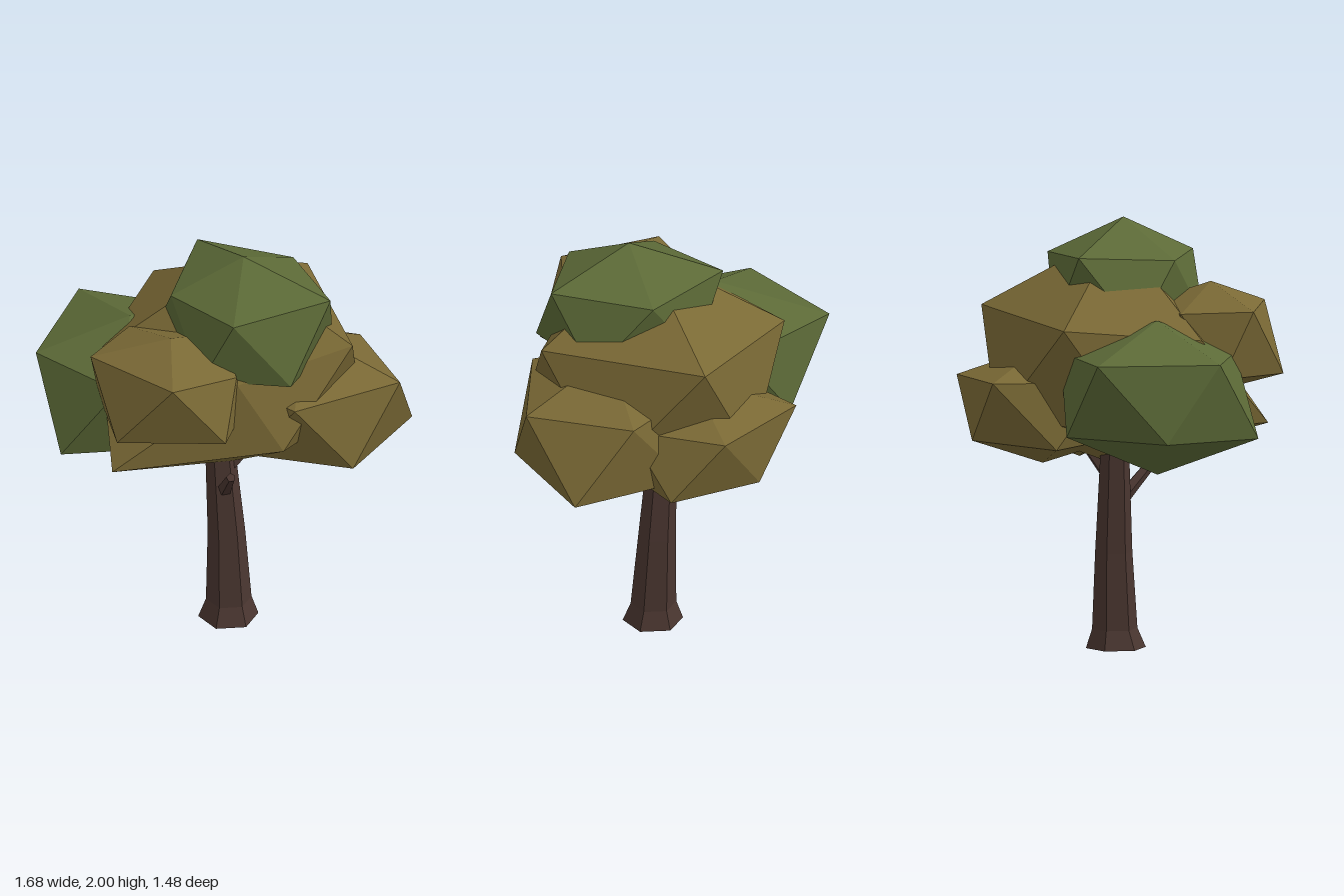
import * as THREE from 'three';
import { ConvexGeometry } from 'three/addons/geometries/ConvexGeometry.js';

const material = (name, color) => {
  const m = new THREE.MeshStandardMaterial({ color, flatShading: true });
  m.name = name;
  return m;
};

// Stretched icosahedron standing on a point: top, two rings of five, bottom.
// heights = [bottom, lower ring, upper ring, top]; nudges replace single corners
// (0-4 upper ring, 5-9 lower ring, counted from +x towards +z).
function clump(name, mat, [cx, cz], [rx, rz], [bottom, low, high, top], yaw = 0, nudges = {}) {
  const points = [];
  for (let ring = 0; ring < 2; ring++) {
    for (let i = 0; i < 5; i++) {
      const a = THREE.MathUtils.degToRad(yaw + 72 * i + 36 * ring);
      points.push(new THREE.Vector3(cx + rx * Math.cos(a), ring ? low : high, cz + rz * Math.sin(a)));
    }
  }
  for (const [i, p] of Object.entries(nudges)) points[i].set(...p);
  points.push(new THREE.Vector3(cx, top, cz), new THREE.Vector3(cx, bottom, cz));
  const mesh = new THREE.Mesh(new ConvexGeometry(points), mat);
  mesh.name = name;
  return mesh;
}

// Six-sided limb through a list of level rings [x, y, z, radius], capped at both ends.
function limb(name, mat, rings) {
  const sides = 6, pos = [], index = [];
  for (const [x, y, z, r] of rings) {
    for (let i = 0; i < sides; i++) {
      const a = (i / sides) * Math.PI * 2;
      pos.push(x + r * Math.sin(a), y, z + r * Math.cos(a));
    }
  }
  for (let k = 0; k < rings.length - 1; k++) {
    for (let i = 0; i < sides; i++) {
      const a = k * sides + i, b = k * sides + ((i + 1) % sides);
      index.push(a, b, b + sides, a, b + sides, a + sides);
    }
  }
  const last = (rings.length - 1) * sides;
  for (let i = 1; i < sides - 1; i++) {
    index.push(0, i + 1, i, last, last + i, last + i + 1);
  }
  const indexed = new THREE.BufferGeometry();
  indexed.setAttribute('position', new THREE.Float32BufferAttribute(pos, 3));
  indexed.setIndex(index);
  const geometry = indexed.toNonIndexed();
  geometry.computeVertexNormals();
  const mesh = new THREE.Mesh(geometry, mat);
  mesh.name = name;
  return mesh;
}

// Straight tapering twig between two points.
function twig(name, mat, from, to, r0, r1) {
  const a = new THREE.Vector3(...from), b = new THREE.Vector3(...to);
  const dir = b.clone().sub(a);
  const mesh = new THREE.Mesh(new THREE.CylinderGeometry(r1, r0, dir.length(), 5), mat);
  mesh.position.copy(a).add(b).multiplyScalar(0.5);
  mesh.quaternion.setFromUnitVectors(new THREE.Vector3(0, 1, 0), dir.normalize());
  mesh.name = name;
  return mesh;
}

export function createModel() {
  const tree = new THREE.Group();
  tree.name = 'tree';
  const bark = material('bark', 0x4a3630);
  const olive = material('oliveLeaves', 0x7a6935);
  const green = material('greenLeaves', 0x5c6a37);

  // Trunk with a flared foot, leaning slightly
  tree.add(limb('trunk', bark, [
    [0.03, 0, -0.01, 0.14],
    [0.03, 0.09, -0.015, 0.106],
    [0.015, 0.45, -0.022, 0.087],
    [-0.015, 0.86, -0.022, 0.07],
    [-0.03, 1.1, -0.022, 0.06],
  ]));

  // Branches
  tree.add(twig('frontBranch', bark, [0.02, 0.69, 0.01], [0.15, 0.91, 0.23], 0.035, 0.022));
  tree.add(twig('backBranch', bark, [0.0, 0.77, -0.02], [0.13, 0.93, -0.13], 0.035, 0.025));

  // Crown
  tree.add(clump('centreLeaves', olive, [0.06, 0], [0.59, 0.62], [0.85, 1.09, 1.6, 1.94], 0, {
    0: [0.66, 1.62, -0.01],
    1: [0.25, 1.52, 0.38],
    2: [-0.47, 1.5, 0.32],
    3: [-0.49, 1.56, -0.33],
    4: [0.16, 1.6, -0.62],
    5: [0.47, 1.2, 0.35],
    6: [-0.26, 1.08, 0.66],
  }));
  tree.add(clump('frontLeaves', olive, [-0.07, 0.42], [0.36, 0.31], [1.2, 1.31, 1.61, 1.72], 0, {
    0: [0.25, 1.57, 0.39],
    1: [0.06, 1.61, 0.69],
    2: [-0.41, 1.62, 0.57],
    5: [0.27, 1.31, 0.56],
    6: [-0.2, 1.3, 0.74],
  }));
  tree.add(clump('leftLeaves', olive, [0.36, -0.13], [0.48, 0.42], [0.85, 1.02, 1.39, 1.56], -2, {
    1: [0.5, 1.39, 0.29],
    4: [0.48, 1.36, -0.5],
    5: [0.72, 1.04, 0.12],
    6: [0.24, 1.05, 0.22],
    9: [0.77, 1.02, -0.44],
  }));
  tree.add(clump('backLeaves', olive, [0.04, -0.35], [0.38, 0.39], [0.87, 1.0, 1.28, 1.42], -3, {
    3: [-0.34, 1.3, -0.64],
    4: [0.13, 1.28, -0.74],
    7: [-0.33, 0.98, -0.34],
    8: [-0.09, 1.0, -0.7],
    9: [0.36, 1.0, -0.63],
  }));
  tree.add(clump('rightLeaves', green, [-0.41, 0.12], [0.43, 0.46], [0.87, 1.07, 1.43, 1.59], 2, {
    1: [-0.3, 1.42, 0.5],
    2: [-0.78, 1.43, 0.36],
    3: [-0.82, 1.44, -0.22],
    5: [-0.14, 1.07, 0.36],
    6: [-0.56, 1.05, 0.57],
  }));
  tree.add(clump('topLeaves', green, [0.13, 0.04], [0.44, 0.36], [1.4, 1.52, 1.87, 2.0], 0, {
    1: [0.23, 1.83, 0.38],
    2: [-0.15, 1.83, 0.24],
    3: [-0.22, 1.86, -0.22],
    4: [0.23, 1.83, -0.3],
    5: [0.48, 1.52, 0.29],
    6: [0.08, 1.52, 0.41],
  }));
  return tree;
}
